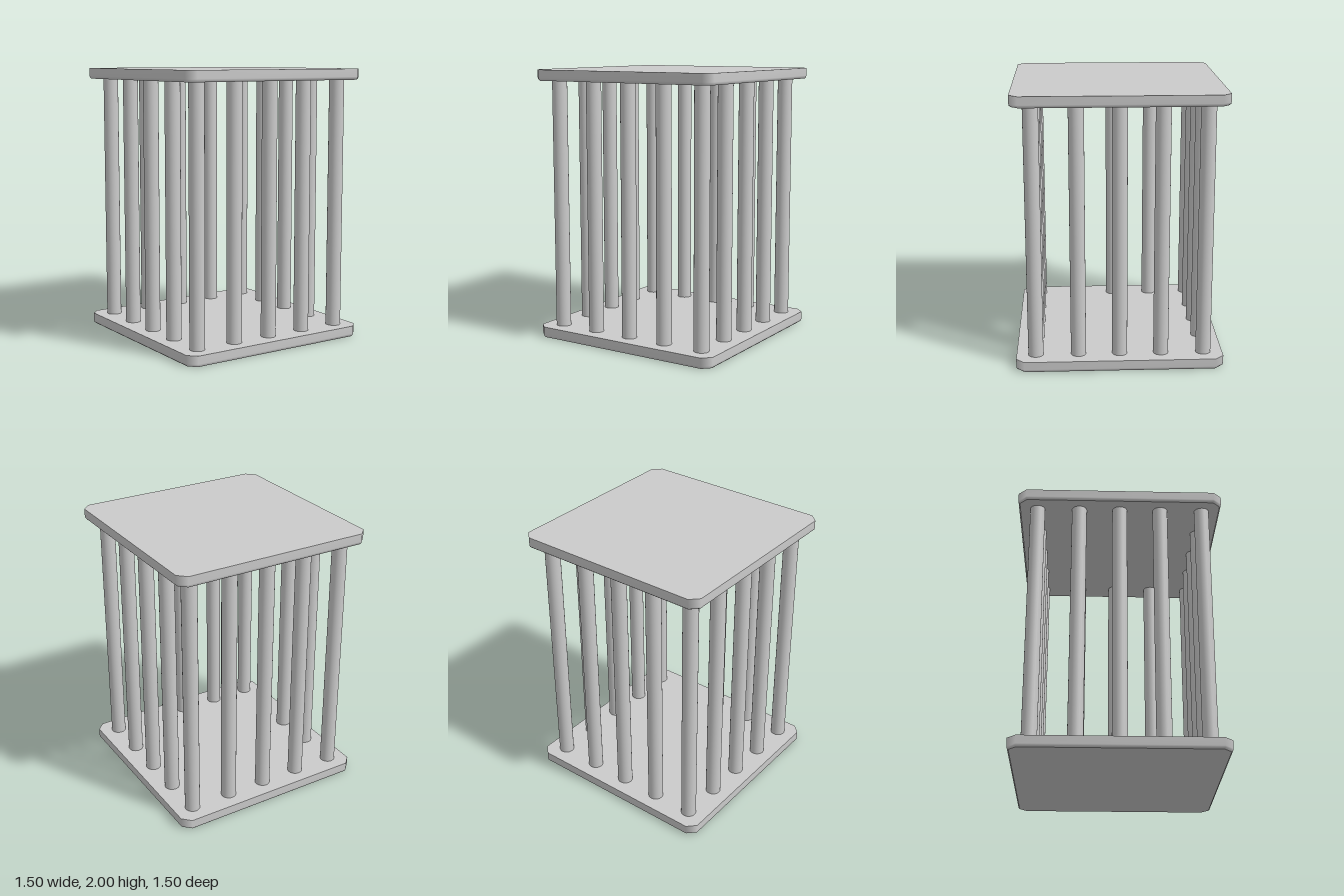
import * as THREE from 'three';
import { mergeGeometries } from 'three/addons/utils/BufferGeometryUtils.js';

const HALF = 0.75, CUT = 0.06, THICK = 0.08, HEIGHT = 2;

// Square outline with cut corners, counter-clockwise in (x, -z)
function outline(inset) {
  const a = HALF - inset, b = HALF - CUT - inset * 0.41;
  return [[a, -b], [a, b], [b, a], [-b, a], [-a, b], [-a, -b], [-b, -a], [b, -a]];
}

// Flat cap facing up or down
function cap(inset, y, up) {
  const shape = new THREE.Shape(outline(inset).map(([x, v]) => new THREE.Vector2(x, v)));
  const g = new THREE.ShapeGeometry(shape);
  g.rotateX(up ? -Math.PI / 2 : Math.PI / 2);
  return g.translate(0, y, 0).deleteAttribute('uv');
}

// Plate: smooth rim softened along its lower edge, between two flat caps
function plateGeometry() {
  const rows = [[0.012, 0], [0.003, 0.009], [0, 0.022], [0, THICK]];
  const pos = [], index = [];
  rows.forEach(([inset, y]) => outline(inset).forEach(([x, v]) => pos.push(x, y, -v)));
  for (let r = 0; r < rows.length - 1; r++) {
    for (let i = 0; i < 8; i++) {
      const a = r * 8 + i, b = r * 8 + (i + 1) % 8;
      index.push(a, b, b + 8, a, b + 8, a + 8);
    }
  }
  const rim = new THREE.BufferGeometry();
  rim.setAttribute('position', new THREE.Float32BufferAttribute(pos, 3));
  rim.setIndex(index);
  rim.computeVertexNormals();
  return mergeGeometries([rim, cap(rows[0][0], 0, false), cap(0, THICK, true)]);
}

export function createModel() {
  const group = new THREE.Group();
  const material = new THREE.MeshStandardMaterial({ color: 0xcccccc });
  const add = (name, geometry, x, y, z) => {
    const mesh = new THREE.Mesh(geometry, material);
    mesh.name = name;
    mesh.position.set(x, y, z);
    group.add(mesh);
  };

  // Base and top plates
  const plate = plateGeometry();
  add('basePlate', plate, 0, 0, 0);
  add('topPlate', plate, 0, HEIGHT - THICK, 0);

  // Sixteen bars around the perimeter, five to a side
  const bar = new THREE.CylinderGeometry(0.055, 0.055, HEIGHT - 2 * THICK, 24, 1, true);
  const spots = [-0.61, -0.3, 0, 0.3, 0.61];
  spots.forEach((x, i) => spots.forEach((z, j) => {
    if (i % 4 === 0 || j % 4 === 0) add('bar', bar, x, HEIGHT / 2, z);
  }));
  return group;
}
